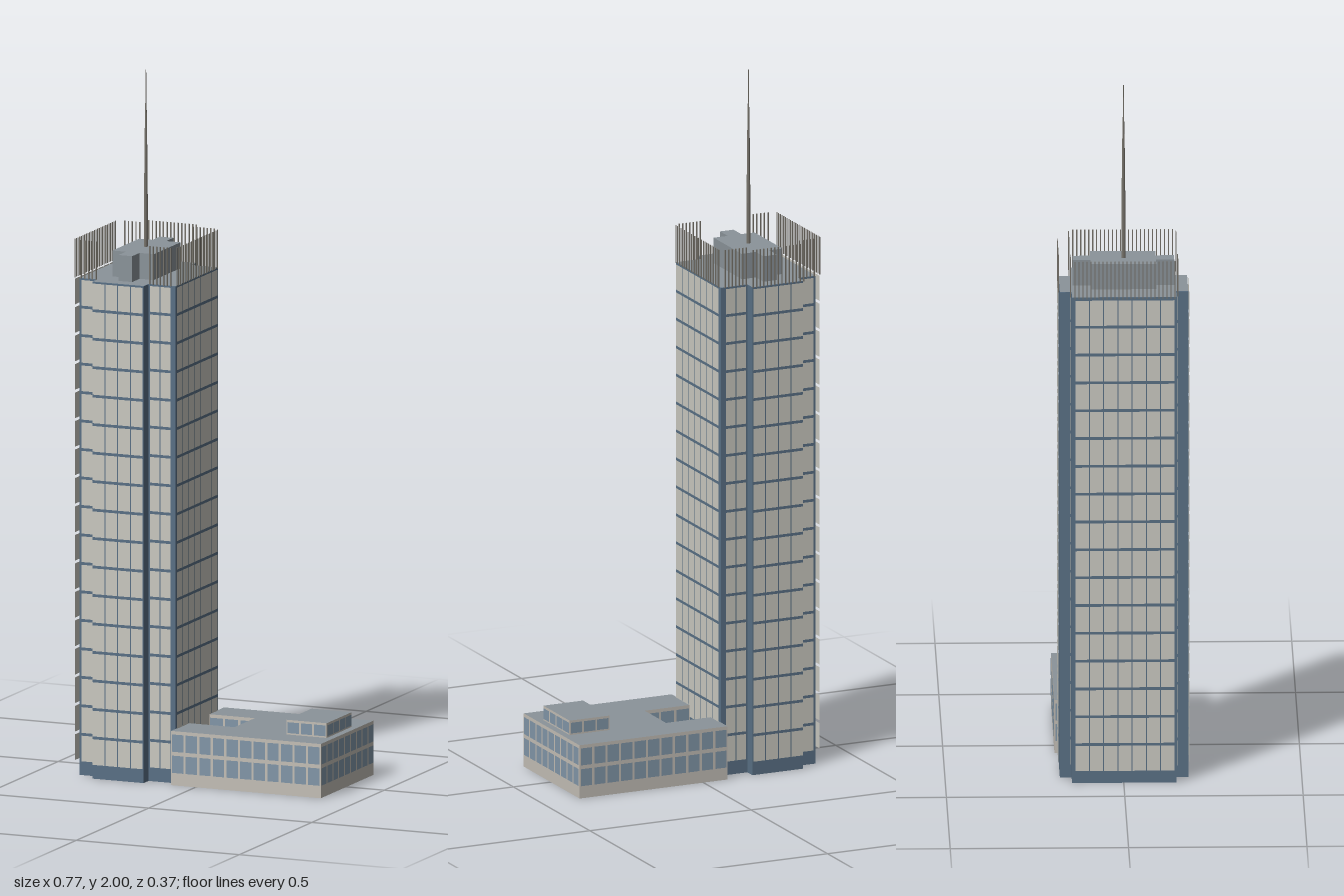
import * as THREE from 'three';
import { mergeGeometries } from 'three/addons/utils/BufferGeometryUtils.js';

const mat = (color, side = THREE.FrontSide) => new THREE.MeshStandardMaterial({ color, side, flatShading: true });
const glass = mat(0x5a7186);
const panel = mat(0xcac9c1, THREE.DoubleSide);
const roof = mat(0x8b949a, THREE.DoubleSide);
const concrete = mat(0xc4bfb7, THREE.DoubleSide);
const windowGlass = mat(0x8297a9);
const metal = mat(0x77736b);

function add(group, name, geometry, material) {
  const mesh = new THREE.Mesh(geometry, material);
  mesh.name = name;
  group.add(mesh);
}

// Closed outline of [x, z] corners
const outline = (pts) => new THREE.Shape(pts.map(([x, z]) => new THREE.Vector2(x, -z)));

const prism = (pts, y0, y1) =>
  new THREE.ExtrudeGeometry(outline(pts), { depth: y1 - y0, bevelEnabled: false })
    .rotateX(-Math.PI / 2).translate(0, y0, 0);

const slab = (pts, y) => new THREE.ShapeGeometry(outline(pts)).rotateX(-Math.PI / 2).translate(0, y, 0);

// Put a geometry made around x = 0..length, facing +z, onto the wall line a -> b (left to right from outside)
function onWall(geo, [ax, az], [bx, bz]) {
  return geo.rotateY(Math.atan2(az - bz, bx - ax)).translate(ax, 0, az);
}

// Grid of flat rectangles on a wall, with gaps between them
function cells(a, b, y0, y1, cols, rows, gapX, gapY, offset) {
  const w = Math.hypot(b[0] - a[0], b[1] - a[1]) / cols;
  const h = (y1 - y0) / rows;
  const out = [];
  for (let i = 0; i < cols; i++) {
    for (let j = 0; j < rows; j++) {
      const g = new THREE.PlaneGeometry(w - gapX, h - gapY);
      g.translate((i + 0.5) * w, y0 + (j + 0.5) * h, offset);
      out.push(onWall(g, a, b));
    }
  }
  return out;
}

// Row of thin upright bars along a wall line
function bars(a, b, y0, y1) {
  const length = Math.hypot(b[0] - a[0], b[1] - a[1]);
  const n = Math.max(2, Math.round(length / 0.011));
  const out = [];
  for (let i = 0; i <= n; i++) {
    const g = new THREE.BoxGeometry(0.0035, y1 - y0, 0.002);
    g.translate((i / n) * length, (y0 + y1) / 2, 0);
    out.push(onWall(g, a, b));
  }
  return out;
}

// Cross-shaped plan: a rectangle with a narrower bay at front and back
const crossPlan = (x0, x1, z0, z1, bx0, bx1, bz0, bz1) => [
  [x0, z1], [bx0, z1], [bx0, bz1], [bx1, bz1], [bx1, z1], [x1, z1],
  [x1, z0], [bx1, z0], [bx1, bz0], [bx0, bz0], [bx0, z0], [x0, z0],
];

function createTower() {
  const tower = new THREE.Group();
  tower.name = 'tower';
  const top = 1.42;
  const plan = crossPlan(-0.368, -0.075, -0.145, 0.148, -0.314, -0.157, -0.178, 0.182);
  add(tower, 'glassCore', prism(plan, 0, top), glass);
  add(tower, 'towerRoof', slab(plan, top + 0.001), roof);

  // Facade strips: start, end, columns, has crown bars
  const strips = [
    [[-0.314, 0.185], [-0.157, 0.185], 4, false],
    [[-0.362, 0.152], [-0.316, 0.152], 1, true],
    [[-0.152, 0.152], [-0.087, 0.152], 2, true],
    [[-0.157, -0.182], [-0.314, -0.182], 4, true],
    [[-0.087, -0.149], [-0.152, -0.149], 2, true],
    [[-0.316, -0.149], [-0.362, -0.149], 1, true],
    [[-0.072, 0.143], [-0.072, -0.137], 7, true],
    [[-0.385, -0.137], [-0.385, 0.143], 7, true],
  ];
  const panels = [], crown = [];
  for (const [a, b, cols, hasBars] of strips) {
    panels.push(...cells(a, b, 0.036, top, cols, 17, 0.003, 0.008, 0));
    if (hasBars) crown.push(...bars(a, b, top, 1.53));
  }
  add(tower, 'facadePanels', mergeGeometries(panels), panel);
  add(tower, 'crownBars', mergeGeometries(crown), metal);

  // Rooftop plant room and mast
  add(tower, 'plantRoom',
    prism(crossPlan(-0.292, -0.165, -0.091, 0.093, -0.251, -0.209, -0.141, 0.144), top, 1.495), roof);
  const profile = [[0.006, 1.49], [0.006, 1.6], [0.0045, 1.75], [0.003, 1.87], [0.0015, 1.92], [0.001, 2], [0, 2]];
  const mast = new THREE.LatheGeometry(profile.map(([r, y]) => new THREE.Vector2(r, y)), 8);
  add(tower, 'mast', mast.translate(-0.23, 0, 0.002), metal);
  return tower;
}

function createPodium() {
  const podium = new THREE.Group();
  podium.name = 'podium';
  const top = 0.155;
  // U-shaped plan around a courtyard, walked left to right as seen from outside
  const plan = [
    [-0.075, 0.177], [0.384, 0.177], [0.384, -0.188], [-0.075, -0.188],
    [-0.075, -0.083], [0.066, -0.083], [0.066, 0.056], [-0.075, 0.056],
  ];
  const walls = [], windows = [];
  plan.forEach((a, i) => {
    const b = plan[(i + 1) % plan.length];
    const length = Math.hypot(b[0] - a[0], b[1] - a[1]);
    walls.push(...cells(a, b, 0, top, 1, 1, 0, 0, 0));
    windows.push(...cells(a, b, 0.03, 0.151, Math.round(length / 0.041), 2, 0.007, 0.011, 0.001));
  });
  add(podium, 'podiumWalls', mergeGeometries(walls), concrete);
  add(podium, 'podiumRoof', slab(plan, top), roof);

  // Small rooftop pavilion
  const pavilion = [[0.241, 0.091], [0.364, 0.091], [0.364, -0.081], [0.241, -0.081]];
  const sides = [];
  pavilion.forEach((a, i) => {
    const b = pavilion[(i + 1) % 4];
    sides.push(...cells(a, b, top, 0.197, 1, 1, 0, 0, 0));
    windows.push(...cells(a, b, top + 0.001, 0.194, i % 2 ? 4 : 3, 1, 0.006, 0.007, 0.001));
  });
  add(podium, 'pavilionWalls', mergeGeometries(sides), concrete);
  add(podium, 'pavilionRoof', slab(pavilion, 0.197), roof);
  add(podium, 'podiumWindows', mergeGeometries(windows), windowGlass);
  return podium;
}

export function createModel() {
  const model = new THREE.Group();
  model.name = 'officeTower';
  model.add(createTower(), createPodium());
  return model;
}
